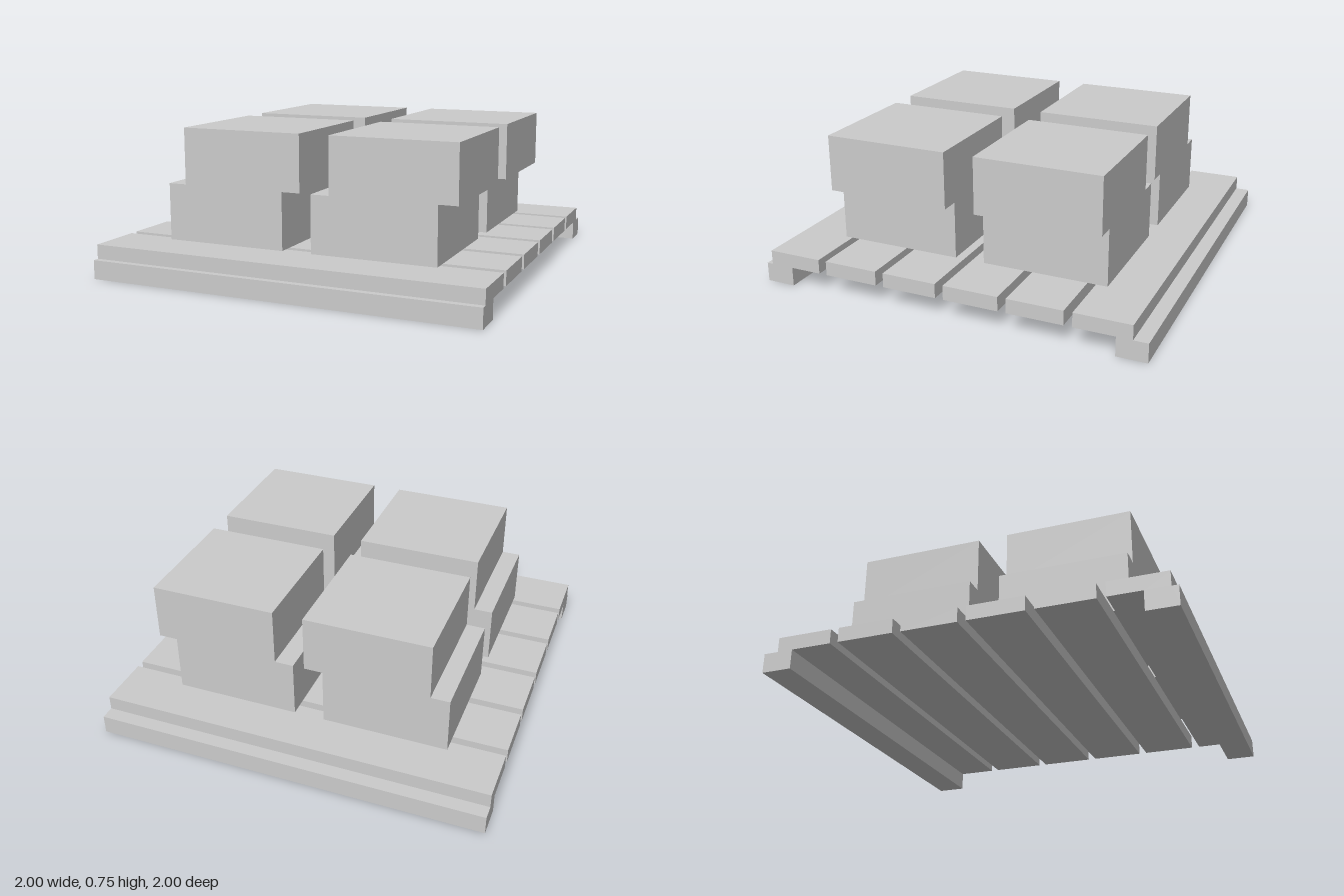
import * as THREE from 'three';

const material = new THREE.MeshStandardMaterial({ color: 0xcccccc, flatShading: true });

// Extrude a closed outline along z, centred on z = 0
function prism(points, depth) {
  const shape = new THREE.Shape(points.map(([x, y]) => new THREE.Vector2(x, y)));
  const geometry = new THREE.ExtrudeGeometry(shape, { depth, bevelEnabled: false });
  return geometry.translate(0, 0, -depth / 2);
}

function addMesh(parent, name, geometry) {
  const mesh = new THREE.Mesh(geometry, material);
  mesh.name = name;
  parent.add(mesh);
  return mesh;
}

export function createModel() {
  const model = new THREE.Group();
  model.name = 'loadedPallet';

  const railTop = 0.097, deckTop = 0.17;

  // Pallet deck: four plain slats between two slats with a rail beneath
  const pallet = new THREE.Group();
  pallet.name = 'pallet';
  model.add(pallet);

  for (const z of [0.504, 0.181, -0.142, -0.465]) {
    addMesh(pallet, 'slat', new THREE.BoxGeometry(2, deckTop - railTop, 0.281))
      .position.set(0, (deckTop + railTop) / 2, z);
  }

  // Stepped edge slats, outlined in (z, y) and extruded across x
  const edgeSlat = (name, side, inner, outer) => {
    const outline = [
      [inner, railTop], [side * 0.85, railTop], [side * 0.85, 0], [side, 0],
      [side, railTop], [outer, railTop], [outer, deckTop], [inner, deckTop],
    ];
    addMesh(pallet, name, prism(outline, 2).rotateY(-Math.PI / 2));
  };
  edgeSlat('frontEdgeSlat', 1, 0.687, 0.968);
  edgeSlat('backEdgeSlat', -1, -0.647, -0.928);

  // Four stacks, each with its upper half shifted towards +x
  const split = 0.46, top = 0.746, width = 0.637, shift = 0.096;
  const stackGeometry = prism([
    [0, deckTop], [width, deckTop], [width, split], [width + shift, split],
    [width + shift, top], [shift, top], [shift, split], [0, split],
  ], width);
  for (const [side, x] of [['right', -0.727], ['left', 0.064]]) {
    for (const [end, z] of [['Front', 0.404], ['Back', -0.386]]) {
      addMesh(model, `${side}${end}Stack`, stackGeometry).position.set(x, 0, z);
    }
  }
  return model;
}
